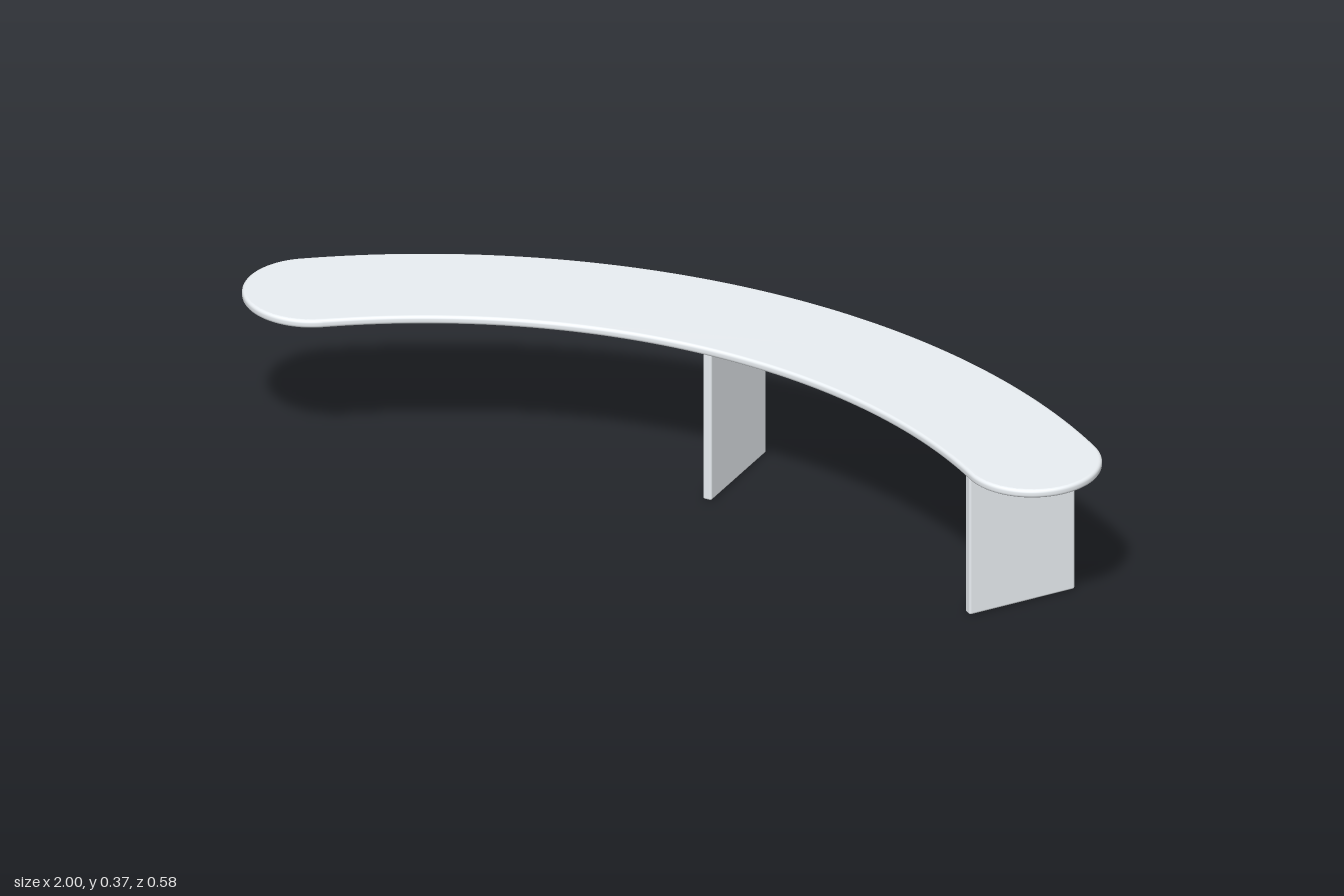
import * as THREE from 'three';
import { mergeVertices } from 'three/addons/utils/BufferGeometryUtils.js';
import { RoundedBoxGeometry } from 'three/addons/geometries/RoundedBoxGeometry.js';

const ARC_RADIUS = 1.42;      // centre line of the curved seat
const ARC_CENTRE_Z = 1.278;
const HALF_WIDTH = 0.147;
const HALF_ANGLE = Math.asin((1 - HALF_WIDTH) / ARC_RADIUS);
const SEAT_BOTTOM = 0.351;
const SEAT_TOP = 0.37;

// Curved band with semicircular ends, drawn with shape y = -z
function seatGeometry() {
  const cy = -ARC_CENTRE_Z;
  const a0 = Math.PI / 2 - HALF_ANGLE;
  const a1 = Math.PI / 2 + HALF_ANGLE;
  const cap = (shape, a, start) => shape.absarc(
    ARC_RADIUS * Math.cos(a), cy + ARC_RADIUS * Math.sin(a), HALF_WIDTH, start, start + Math.PI, false);

  const shape = new THREE.Shape();
  shape.absarc(0, cy, ARC_RADIUS + HALF_WIDTH, a0, a1, false);
  cap(shape, a1, a1);
  shape.absarc(0, cy, ARC_RADIUS - HALF_WIDTH, a1, a0, true);
  cap(shape, a0, a0 + Math.PI);

  const bevel = 0.007;
  const geometry = new THREE.ExtrudeGeometry(shape, {
    depth: SEAT_TOP - SEAT_BOTTOM - 2 * bevel,
    curveSegments: 48,
    bevelSize: bevel,
    bevelThickness: bevel,
    bevelOffset: -bevel,
    bevelSegments: 4,
  });
  geometry.translate(0, 0, bevel);
  geometry.rotateX(-Math.PI / 2);
  geometry.translate(0, SEAT_BOTTOM, 0);

  // Area-weighted normals: smooth round the edge, flat across the top and bottom
  geometry.deleteAttribute('normal');
  geometry.deleteAttribute('uv');
  const smooth = mergeVertices(geometry, 1e-5);
  smooth.computeVertexNormals();
  return smooth;
}

export function createModel() {
  const group = new THREE.Group();
  const material = new THREE.MeshStandardMaterial({ color: 0xebf0f4 });

  const seat = new THREE.Mesh(seatGeometry(), material);
  seat.name = 'seat';
  group.add(seat);

  // Panel legs standing radially under the seat: the middle and the left end only
  const legGeometry = new RoundedBoxGeometry(0.021, SEAT_BOTTOM, 0.253, 4, 0.005);
  const addLeg = (name, x, z, angle) => {
    const leg = new THREE.Mesh(legGeometry, material);
    leg.name = name;
    leg.position.set(x, SEAT_BOTTOM / 2, z);
    leg.rotation.y = -angle;
    group.add(leg);
  };
  addLeg('middleLeg', 0.002, -0.14, 0);
  addLeg('leftLeg', 0.799, 0.094, THREE.MathUtils.degToRad(34));

  return group;
}
